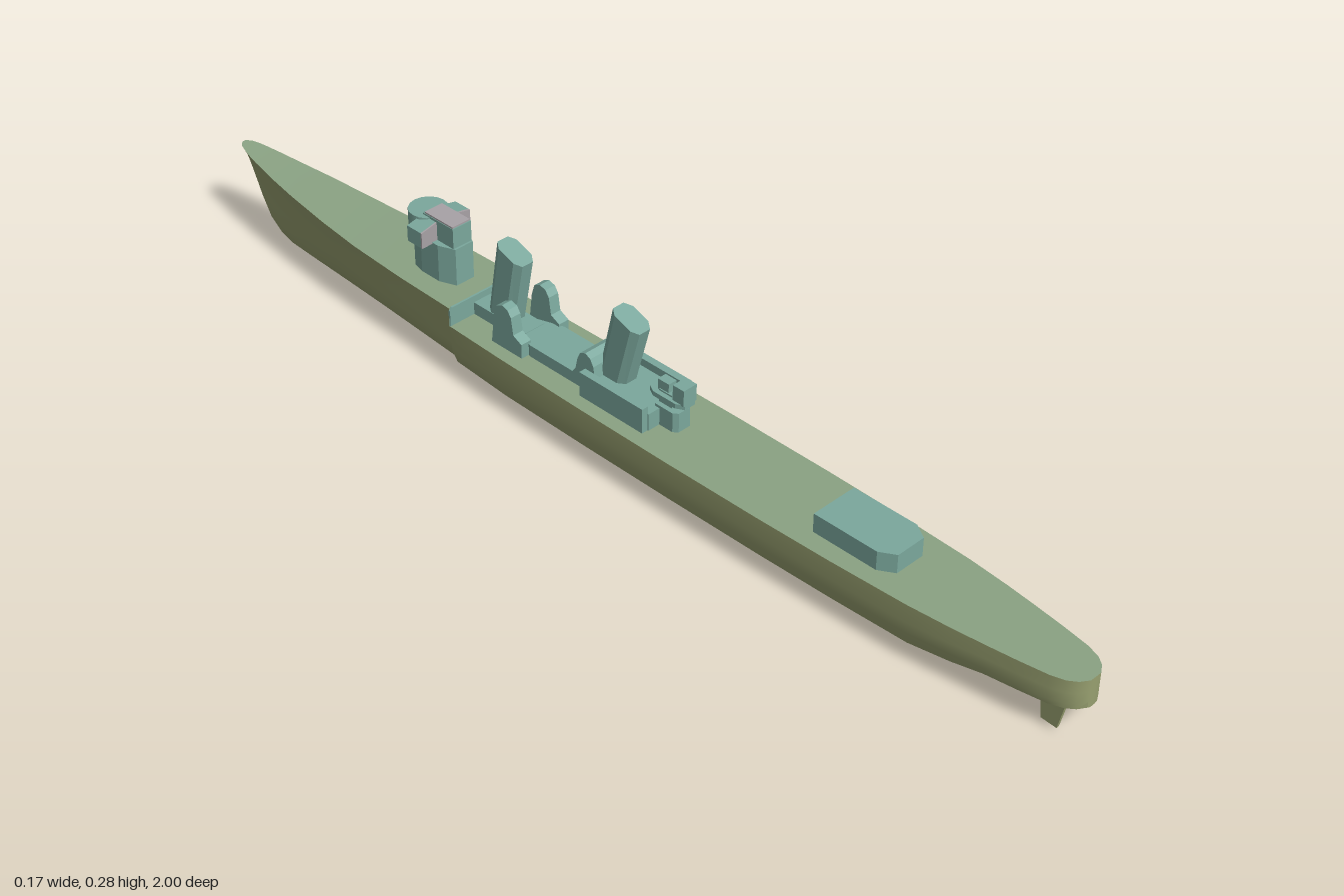
import * as THREE from 'three';
import { toCreasedNormals } from 'three/addons/utils/BufferGeometryUtils.js';

const paint = (color) => new THREE.MeshStandardMaterial({ color });
const hullMat = paint(0x98a070), deckMat = paint(0x8aa283), teal = paint(0x7ba89d), grey = paint(0xa8a2a6);

// Stations, bow to stern: z, deck half width, deck height, keel height, section type (0 bow V, 1 midship, 2 flat stern)
const STATIONS = [
  [-1, 0.004, 0.168, 0.161, 0], [-0.99, 0.013, 0.167, 0.145, 0], [-0.975, 0.018, 0.166, 0.115, 0],
  [-0.955, 0.023, 0.164, 0.07, 0], [-0.93, 0.028, 0.162, 0.03, 0.05], [-0.9, 0.033, 0.16, 0.009, 0.1],
  [-0.87, 0.038, 0.158, 0.001, 0.15], [-0.8, 0.048, 0.155, 0, 0.25], [-0.7, 0.059, 0.151, 0, 0.4],
  [-0.6, 0.068, 0.149, 0, 0.55], [-0.47, 0.074, 0.148, 0, 0.75], [-0.335, 0.077, 0.148, 0, 0.9],
  [-0.335, 0.078, 0.112, 0, 0.9], [-0.2, 0.082, 0.112, 0, 1], [0, 0.085, 0.112, 0, 1],
  [0.2, 0.086, 0.112, 0, 1], [0.4, 0.085, 0.112, 0, 1], [0.55, 0.082, 0.112, 0, 1],
  [0.7, 0.076, 0.112, 0.002, 1.05], [0.78, 0.069, 0.112, 0.02, 1.25], [0.84, 0.062, 0.112, 0.04, 1.6],
  [0.9, 0.054, 0.112, 0.048, 1.9], [0.95, 0.046, 0.112, 0.051, 2], [0.975, 0.038, 0.112, 0.053, 2],
  [0.99, 0.027, 0.112, 0.054, 2], [1, 0.012, 0.112, 0.055, 2], [1, 0, 0.112, 0.055, 2],
];
// Half sections from keel to deck edge as fractions of width and depth
const SECTIONS = [
  [[0, 0], [0.07, 0.02], [0.24, 0.2], [0.42, 0.45], [0.6, 0.7], [1, 1]],
  [[0, 0], [0.36, 0.01], [0.86, 0.26], [0.98, 0.5], [1.01, 0.7], [1, 1]],
  [[0, 0], [0.5, 0.01], [0.93, 0.05], [1, 0.25], [1, 0.6], [1, 1]],
];

function indexed(pos, idx) {
  const g = new THREE.BufferGeometry();
  g.setAttribute('position', new THREE.Float32BufferAttribute(pos, 3));
  g.setIndex(idx);
  return toCreasedNormals(g, 0.6);
}

function hullGeometry() {
  const pos = [], idx = [], n = 11;
  STATIONS.forEach(([z, w, top, keel, type], i) => {
    const k = Math.min(1, Math.floor(type)), t = type - k;
    for (let j = -5; j <= 5; j++) {
      const a = SECTIONS[k][Math.abs(j)], b = SECTIONS[k + 1][Math.abs(j)];
      const fx = a[0] + (b[0] - a[0]) * t, fy = a[1] + (b[1] - a[1]) * t;
      pos.push(Math.sign(j) * w * fx, keel + (top - keel) * fy, z);
    }
    if (i === 0) return;
    for (let j = 0; j < n - 1; j++) {
      const a = (i - 1) * n + j, c = i * n + j;
      idx.push(a, a + 1, c, a + 1, c + 1, c);
    }
  });
  return indexed(pos, idx);
}

function deckGeometry() {
  const pos = [], idx = [];
  STATIONS.forEach(([z, w, top], i) => {
    pos.push(-w, top, z, w, top, z);
    if (i) idx.push(2 * i - 2, 2 * i, 2 * i - 1, 2 * i - 1, 2 * i, 2 * i + 1);
  });
  return indexed(pos, idx);
}

const shapeOf = (pts) => new THREE.Shape(pts.map(([a, b]) => new THREE.Vector2(a, b)));
const extrude = (pts, depth) => new THREE.ExtrudeGeometry(shapeOf(pts), { depth, bevelEnabled: false });

// Plan outline [x, z] of the +x half, mirrored, raised from y0 to y1
function plan(half, y0, y1) {
  const pts = [...half, ...half.map(([x, z]) => [-x, z]).reverse()].map(([x, z]) => [x, -z]);
  return extrude(pts, y1 - y0).rotateX(-Math.PI / 2).translate(0, y0, 0);
}

// Side outline [z, y] given a width across x
const side = (pts, width, cx = 0) =>
  extrude(pts, width).rotateY(-Math.PI / 2).translate(cx + width / 2, 0, 0);

const box = (w, y0, y1, z0, z1, cx = 0) =>
  new THREE.BoxGeometry(w, y1 - y0, z1 - z0).translate(cx, (y0 + y1) / 2, (z0 + z1) / 2);

// Raked funnel with chamfered corners and a sloping top
function funnel(zc, y0, rake) {
  const g = plan([[0.012, -0.031], [0.021, -0.018], [0.021, 0.018], [0.012, 0.031]], y0, 0.271);
  const p = g.attributes.position;
  for (let i = 0; i < p.count; i++) {
    const y = p.getY(i), z = p.getZ(i);
    p.setZ(i, zc + z + rake * (y - y0));
    if (y > 0.2) p.setY(i, y - z * 0.36);
  }
  g.computeVertexNormals();
  return g;
}

export function createModel() {
  const ship = new THREE.Group();
  const add = (name, geo, mat = teal) => {
    const m = new THREE.Mesh(geo, mat);
    m.name = name;
    ship.add(m);
  };

  // Hull, deck and the bulkhead at the forecastle break
  add('hull', hullGeometry(), hullMat);
  add('deck', deckGeometry(), deckMat);
  add('forecastleBulkhead', extrude([[-0.077, 0.11], [0.077, 0.11], [0.077, 0.143], [0.072, 0.149],
    [-0.072, 0.149], [-0.077, 0.143]], 0.004).translate(0, 0, -0.336));

  // Twin rudders
  for (const s of [-1, 1])
    add(s > 0 ? 'leftRudder' : 'rightRudder',
      side([[0.93, 0.056], [0.935, 0.01], [0.965, 0.008], [0.975, 0.056]], 0.006, s * 0.03), hullMat);

  // Aft deckhouse
  add('aftDeckhouse', plan([[0.047, 0.485], [0.047, 0.615], [0.03, 0.643]], 0.11, 0.148));

  // Midship house with raised side lockers
  add('midshipHouse', box(0.09, 0.11, 0.145, -0.035, 0.12));
  add('midshipHouseEnd', plan([[0.02, 0.11], [0.02, 0.15], [0.013, 0.158]], 0.11, 0.15));
  for (const s of [-1, 1])
    add(s > 0 ? 'leftLocker' : 'rightLocker', box(0.014, 0.11, 0.16, -0.03, 0.118, s * 0.051));
  add('curvedVent', side([[-0.01, 0.14], [-0.015, 0.168], [-0.022, 0.181], [-0.034, 0.187], [-0.046, 0.182],
    [-0.053, 0.168], [-0.058, 0.145], [-0.07, 0.13], [-0.07, 0.112], [-0.01, 0.112]], 0.08));

  // Low house running forward to the fore funnel
  add('lowHouse', plan([[0.021, -0.225], [0.04, -0.17], [0.04, -0.035]], 0.11, 0.135));
  add('funnelBase', plan([[0.022, -0.335], [0.022, -0.2]], 0.11, 0.136));
  for (const s of [-1, 1])
    add(s > 0 ? 'leftSideVent' : 'rightSideVent', side([[-0.175, 0.112], [-0.175, 0.14], [-0.195, 0.15],
      [-0.2, 0.183], [-0.208, 0.195], [-0.222, 0.199], [-0.236, 0.192], [-0.243, 0.17], [-0.25, 0.112]],
    0.022, s * 0.044));

  // Funnels
  add('foreFunnel', funnel(-0.275, 0.11, 0.18));
  add('aftFunnel', funnel(-0.001, 0.13, 0.25));

  // Searchlight platform behind the aft funnel
  add('platformPost', box(0.022, 0.148, 0.175, 0.11, 0.14));
  add('platform', plan([[0.012, 0.09], [0.02, 0.105], [0.02, 0.155], [0.012, 0.17]], 0.163, 0.172));
  add('platformScreen', box(0.03, 0.17, 0.202, 0.145, 0.17));
  add('searchlight', box(0.018, 0.17, 0.192, 0.105, 0.13));

  // Bridge tower, rounded lookout, wings and grey roof
  add('bridgeTower', plan([[0.012, -0.495], [0.027, -0.48], [0.033, -0.455], [0.033, -0.41], [0.02, -0.378]],
    0.146, 0.222));
  add('bridgeLookout', new THREE.CylinderGeometry(0.036, 0.036, 0.042, 16).translate(0, 0.238, -0.47));
  add('bridgeRear', box(0.042, 0.22, 0.262, -0.46, -0.382));
  add('bridgeRoof', box(0.04, 0.262, 0.265, -0.456, -0.384), grey);
  for (const s of [-1, 1]) {
    const pts = [[0.018, 0.219], [0.056, 0.219], [0.056, 0.25], [0.018, 0.258]].map(([x, y]) => [s * x, y]);
    add(s > 0 ? 'leftBridgeWing' : 'rightBridgeWing', extrude(pts, 0.035).translate(0, 0, -0.462));
    add(s > 0 ? 'leftWingScreen' : 'rightWingScreen', extrude(pts, 0.004).translate(0, 0, -0.428), grey);
  }
  return ship;
}
